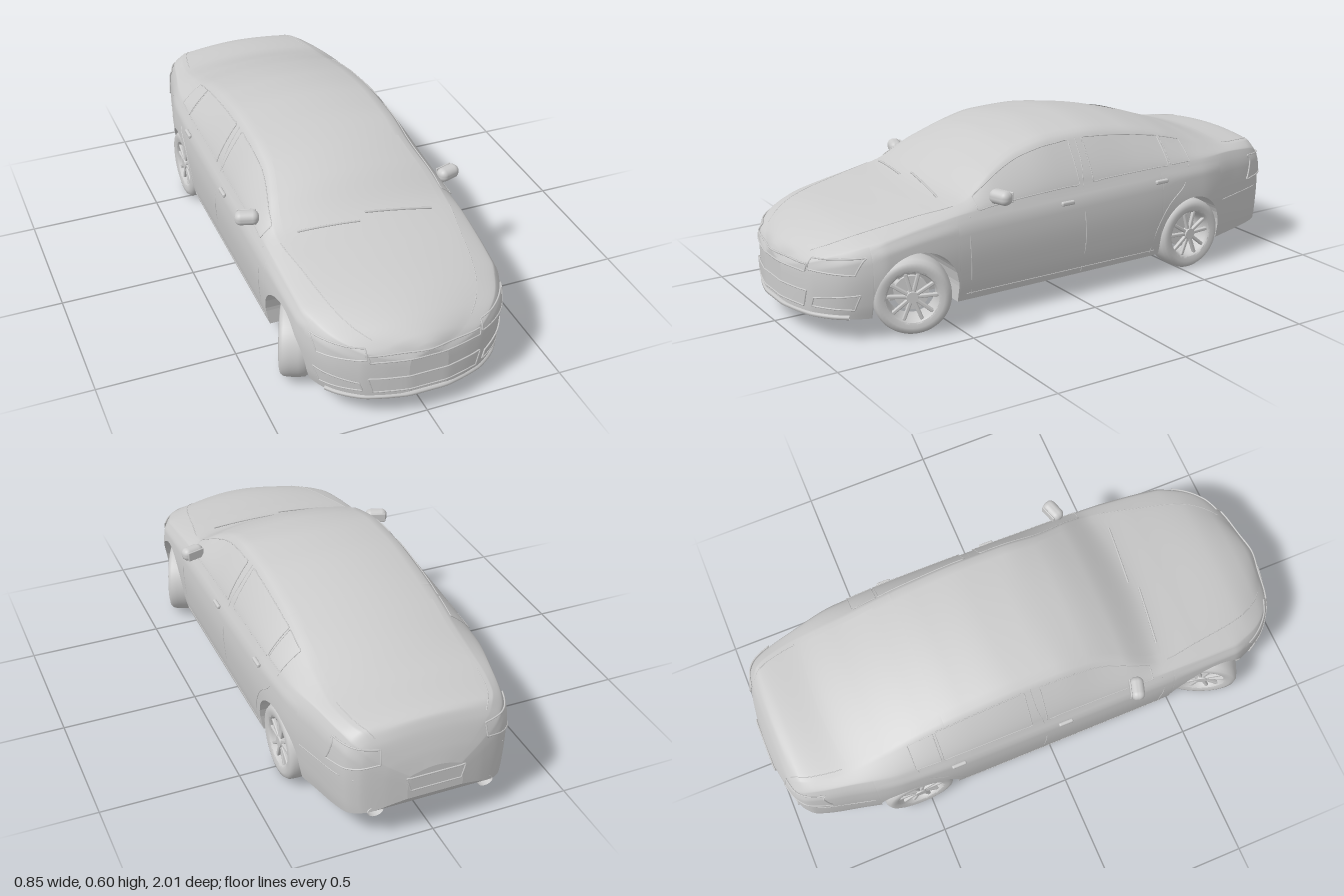
import * as THREE from 'three';
import { RoundedBoxGeometry } from 'three/addons/geometries/RoundedBoxGeometry.js';

const grey = new THREE.MeshStandardMaterial({ color: 0xcccccc, side: THREE.DoubleSide });
const greyFlat = new THREE.MeshStandardMaterial({ color: 0xcccccc, side: THREE.DoubleSide, flatShading: true });
const V = (x, y, z) => new THREE.Vector3(x, y, z);
const lerp = THREE.MathUtils.lerp;

// Smooth curve without overshoot through [position, value] points
function curve(...p) {
  const d = p.slice(1).map((q, i) => (q[1] - p[i][1]) / (q[0] - p[i][0]));
  const m = p.map((q, i) => {
    if (i === 0) return d[0];
    if (i === p.length - 1) return d[i - 1];
    const a = d[i - 1], b = d[i];
    return a * b <= 0 ? 0 : 2 * a * b / (a + b);
  });
  return z => {
    z = Math.min(Math.max(z, p[0][0]), p[p.length - 1][0]);
    let i = 0;
    while (i < p.length - 2 && z > p[i + 1][0]) i++;
    const h = p[i + 1][0] - p[i][0], t = (z - p[i][0]) / h, t2 = t * t, t3 = t2 * t;
    return p[i][1] * (2 * t3 - 3 * t2 + 1) + m[i] * h * (t3 - 2 * t2 + t) + p[i + 1][1] * (3 * t2 - 2 * t3) + m[i + 1] * h * (t3 - t2);
  };
}

// Body curves along z: half width, centre height, shoulder height, roof rail height and half width, floor
const width = curve([-1, .1], [-.985, .18], [-.96, .255], [-.92, .295], [-.76, .34], [-.58, .378], [-.3, .388], [.4, .388],
  [.74, .376], [.8, .357], [.87, .32], [.95, .225], [.975, .155], [.995, .07]);
const top = curve([-1, .27], [-.985, .33], [-.96, .4], [-.94, .43], [-.9, .442], [-.77, .452], [-.62, .497], [-.46, .548], [-.3, .585],
  [-.12, .604], [0, .602], [.17, .577], [.3, .53], [.47, .435], [.6, .41], [.8, .375], [.9, .34], [.96, .305], [.985, .28], [.995, .26]);
const shoulder = curve([-1, .25], [-.985, .3], [-.95, .37], [-.88, .4], [-.7, .415], [-.4, .412], [.1, .398], [.42, .388],
  [.6, .365], [.8, .325], [.9, .295], [.96, .262], [.995, .23]);
const railY = curve([-1, .26], [-.985, .315], [-.96, .38], [-.92, .42], [-.77, .432], [-.62, .468], [-.46, .52], [-.3, .556],
  [-.1, .578], [.05, .574], [.17, .55], [.3, .495], [.44, .415], [.6, .39], [.8, .352], [.9, .315], [.96, .28], [.995, .245]);
const railX = curve([-1, .06], [-.985, .13], [-.95, .21], [-.88, .25], [-.75, .27], [-.5, .262], [.17, .262], [.44, .315],
  [.6, .29], [.8, .25], [.9, .2], [.96, .13], [.995, .04]);
const floorY = curve([-1, .16], [-.97, .12], [-.9, .1], [-.6, .085], [.9, .08], [.97, .085], [.995, .1]);
const flank = curve([0, .94], [.2, .975], [.6, 1], [.85, .985], [1, .93]);

const arches = [{ z: .637, r: .156 }, { z: -.535, r: .15 }], axleY = .135, wellX = .215;
const inArch = z => arches.find(a => Math.abs(z - a.z) < a.r);
function lowerEdge(z) {
  const a = inArch(z);
  return a ? axleY + Math.sqrt(a.r ** 2 - (z - a.z) ** 2) : floorY(z);
}

// Half width of the body at a height
function halfWidth(z, y) {
  const s = shoulder(z), ry = railY(z), t = top(z), w = width(z), r = railX(z);
  if (y <= s) return w * flank((y - .08) / (s - .08));
  if (y <= ry) return lerp(.93 * w, r, ((y - s) / (ry - s)) ** 1.3);
  return y < t ? r * Math.sqrt((t - y) / (t - ry)) : -1;
}
// Point on the skin: t 0..1 flank, 1..2 side glass or wing, 2..3 roof or bonnet
function skin(z, t, side = 1) {
  if (t <= 2) {
    const y = t <= 1 ? lerp(lowerEdge(z), shoulder(z), t) : lerp(shoulder(z), railY(z), t - 1);
    return V(side * halfWidth(z, y), y, z);
  }
  const k = 3 - t;
  return V(side * railX(z) * k, lerp(top(z), railY(z), k * k), z);
}
// Depth of the nose (s = 1) or tail (s = -1) at x, y
function endZ(x, y, s) {
  let a = .4, b = s > 0 ? .995 : 1;
  for (let i = 0; i < 30; i++) {
    const m = (a + b) / 2;
    if (halfWidth(s * m, y) >= Math.abs(x)) a = m; else b = m;
  }
  return s * a;
}

function grid(rows, cols, point) {
  const pos = [], idx = [];
  for (let i = 0; i <= rows; i++) for (let j = 0; j <= cols; j++) {
    pos.push(...point(i, j).toArray());
    if (i < rows && j < cols) {
      const a = i * (cols + 1) + j, b = a + cols + 1;
      idx.push(a, a + 1, b, b, a + 1, b + 1);
    }
  }
  const g = new THREE.BufferGeometry();
  g.setAttribute('position', new THREE.Float32BufferAttribute(pos, 3));
  g.setIndex(idx);
  g.computeVertexNormals();
  return g;
}

export function createModel() {
  const car = new THREE.Group();
  car.name = 'saloonCar';
  const add = (name, geo, parent = car, mat = grey) => {
    const m = new THREE.Mesh(geo, mat);
    m.name = name;
    parent.add(m);
    return m;
  };
  const tube = (name, pts, r, closed = false, parent = car) =>
    add(name, new THREE.TubeGeometry(new THREE.CatmullRomCurve3(pts, closed, 'centripetal'), pts.length * 3, r, 6, closed), parent);

  // Body stations, closer at the ends and doubled at the arch edges
  const zs = [];
  for (let i = 0; i <= 260; i++) zs.push(-.0025 - .9975 * Math.cos(Math.PI * i / 260));
  for (const a of arches) for (const s of [-1, 1]) for (const e of [-1e-4, 1e-4]) zs.push(a.z + s * (a.r + e));
  zs.sort((a, b) => a - b);
  const last = zs.length - 1;

  // Painted shell, closed at nose and tail
  const steps = [];
  for (let k = 0; k <= 14; k++) steps.push(k / 14);
  for (let k = 1; k <= 16; k++) steps.push(1 + k / 8);
  const n = steps.length - 1;
  add('bodyShell', grid(last + 2, 2 * n, (i, j) => {
    const p = skin(zs[Math.min(Math.max(i - 1, 0), last)], steps[j <= n ? j : 2 * n - j], j <= n ? 1 : -1);
    if (i === 0 || i === last + 2) p.x = 0;
    return p;
  }));

  // Underbody with wheel wells
  add('underbody', grid(last, 7, (i, j) => {
    const z = zs[i], k = j < 4 ? j : 7 - j, b = lowerEdge(z), x = halfWidth(z, b);
    const inner = Math.min(x, wellX);
    return V((j < 4 ? 1 : -1) * [x, inner, inner, inner * .4][k], k < 2 ? b : floorY(z), z);
  }), car, greyFlat);

  // Glass panels just proud of the shell
  const glass = (name, point) => add(name, grid(24, 24, (i, j) => point(i / 24, j / 24)));
  glass('windscreen', (u, v) => {
    const x = 1.84 * v - .92, z = lerp(.19, .485 - .035 * x * x, u);
    return skin(z, 3 - Math.abs(x), Math.sign(x) || 1).add(V(0, .0025, .0015));
  });
  glass('rearWindow', (u, v) => {
    const x = 1.84 * v - .92, z = lerp(-.46, -.77 + .03 * x * x, u);
    return skin(z, 3 - Math.abs(x), Math.sign(x) || 1).add(V(0, .0025, -.0015));
  });
  for (const s of [1, -1]) {
    for (const [name, z0, z1] of [['frontSideWindow', .395, -.025], ['rearSideWindow', -.085, -.425], ['quarterWindow', -.435, -.53]]) {
      const at = (u, v) => skin(lerp(z0, z1, u), lerp(1.07, 1.88, v), s).add(V(s * .003, .001, 0));
      glass(name, at);
      const rim = [];
      for (let e = 0; e < 4; e++) for (let k = 0; k < 8; k++) {
        const f = k / 8;
        rim.push(at(...[[f, 0], [1, f], [1 - f, 1], [0, 1 - f]][e]));
      }
      tube(name + 'Trim', rim, .002, true);
    }

    // Door gaps
    const gap = (name, pts) => tube(name, pts.map(([z, y]) => V(s * halfWidth(z, y), y, z)), .0018);
    gap('frontDoorGap', [[.43, .1], [.435, .2], [.44, .3], [.43, .38]]);
    gap('middleDoorGap', [[-.03, .09], [-.04, .2], [-.035, .3], [-.04, .4], [-.055, .48], [-.06, .56]]);
    gap('rearDoorGap', [[-.34, .1], [-.37, .2], [-.42, .28], [-.49, .34], [-.525, .41]]);
    gap('sillLine', [[.45, .105], [.2, .105], [0, .105], [-.2, .105], [-.36, .105]]);
    gap('rearBumperLine', [[-.7, .24], [-.8, .245], [-.9, .25], [-.95, .25]]);

    // Bonnet and boot lid gaps
    const along = (z0, z1, t) => Array.from({ length: 12 }, (_, i) => skin(lerp(z0, z1, i / 11), t, s));
    tube('bonnetGap', along(.47, .93, 1.95), .0018);
    tube('bootGap', along(-.77, -.95, 2.06), .0018);

    // Door handles
    for (const [z, y] of [[.04, .362], [-.378, .372]]) {
      const h = add('doorHandle', new RoundedBoxGeometry(.014, .016, .055, 3, .006));
      h.position.set(s * (halfWidth(z, y) + .004), y, z);
    }

    // Door mirror
    const mirror = new THREE.Group();
    mirror.name = 'doorMirror';
    car.add(mirror);
    const shell = add('mirrorShell', new RoundedBoxGeometry(.085, .05, .05, 6, .022), mirror);
    shell.position.set(s * .384, .432, .318);
    shell.rotation.y = s * .3;
    const face = add('mirrorGlass', new RoundedBoxGeometry(.068, .036, .006, 3, .003), mirror);
    face.position.set(s * .377, .432, .294);
    face.rotation.y = s * .3;
    tube('mirrorArm', [V(s * .325, .405, .335), V(s * .35, .41, .33), V(s * .375, .422, .322)], .01, false, mirror);

    // Wipers
    const wiper = [0, .25, .5, .75, 1].map(f => {
      const x = s > 0 ? lerp(.24, .0, f) : lerp(-.03, -.25, f), z = lerp(.485, .455, f);
      return V(x, lerp(top(z), railY(z), (x / railX(z)) ** 2) + .006, z);
    });
    tube('wiper', wiper, .004);
  }

  // Panels wrapped on nose or tail from four corners, with a trim line
  function panel(name, s, c, lift = .004) {
    const at = (u, v) => {
      const x = lerp(lerp(c[0][0], c[1][0], u), lerp(c[3][0], c[2][0], u), v);
      const y = lerp(lerp(c[0][1], c[1][1], u), lerp(c[3][1], c[2][1], u), v);
      return V(x * 1.008, y, endZ(x, y, s) + s * lift);
    };
    glass(name, at);
    const rim = [];
    for (let e = 0; e < 4; e++) for (let k = 0; k < 12; k++) {
      const f = k / 12;
      rim.push(at(...[[f, 0], [1, f], [1 - f, 1], [0, 1 - f]][e]));
    }
    tube(name + 'Trim', rim, .003, true);
  }
  panel('upperGrille', 1, [[-.195, .238], [.195, .238], [.2, .262], [-.2, .262]]);
  panel('lowerGrille', 1, [[-.185, .115], [.185, .115], [.2, .17], [-.2, .17]]);
  panel('numberPlateRecess', -1, [[-.09, .195], [.09, .195], [.105, .245], [-.105, .245]]);
  for (const s of [1, -1]) {
    panel('headlight', 1, [[s * .205, .248], [s * .335, .242], [s * .345, .298], [s * .205, .284]]);
    panel('fogLightIntake', 1, [[s * .215, .12], [s * .325, .118], [s * .34, .17], [s * .225, .15]], .002);
    panel('tailLight', -1, [[s * .19, .315], [s * .32, .29], [s * .305, .38], [s * .185, .365]]);
    const tip = add('exhaustTip', new THREE.CylinderGeometry(.02, .02, .07, 20, 1, true));
    tip.rotation.x = Math.PI / 2;
    tip.scale.x = 1.4;
    tip.position.set(s * .2, .122, -.94);
  }
  // Front lip
  const lip = [];
  for (let i = 0; i <= 24; i++) {
    const x = lerp(-.31, .31, i / 24);
    lip.push(V(x, .088, endZ(x, .1, 1) - .003));
  }
  tube('frontLip', lip, .009);

  // Exhaust, silencer and axle beams
  tube('exhaustPipe', [V(.03, .085, .42), V(.03, .08, 0), V(.05, .085, -.35), V(.13, .09, -.6), V(.16, .1, -.78)], .014);
  const silencer = add('silencer', new RoundedBoxGeometry(.34, .05, .12, 4, .024));
  silencer.position.set(0, .105, -.82);
  for (const a of arches) {
    const beam = add('axleBeam', new THREE.CylinderGeometry(.014, .014, .6, 12));
    beam.rotation.z = Math.PI / 2;
    beam.position.set(0, axleY, a.z);
    const cross = add('crossMember', new THREE.BoxGeometry(.42, .03, .05));
    cross.position.set(0, .085, a.z);
  }

  // Wheels; the outer side faces +x before turning, the front pair is steered
  const lathe = pts => new THREE.LatheGeometry(pts.map(p => new THREE.Vector2(...p)), 48).rotateZ(-Math.PI / 2);
  const tyre = lathe([[.09, -.046], [.108, -.052], [.124, -.048], [.133, -.036], [.135, -.015], [.135, .015], [.133, .036], [.124, .048], [.108, .052], [.09, .046]]);
  const rim = lathe([[.09, -.046], [.084, -.04], [.08, 0], [.084, .036], [.09, .046], [.096, .048]]);
  const spoke = new RoundedBoxGeometry(.014, .075, .013, 2, .004).translate(0, .05, 0);
  for (const s of [1, -1]) for (const a of arches) {
    const front = a.z > 0, wheel = new THREE.Group();
    wheel.name = front ? 'frontWheel' : 'rearWheel';
    wheel.position.set(s * (front ? .33 : .322), axleY, front ? .64 : a.z);
    wheel.rotation.y = (front ? -.41 : 0) + (s < 0 ? Math.PI : 0);
    car.add(wheel);
    add('tyre', tyre, wheel);
    add('rim', rim, wheel);
    const hub = add('hub', new THREE.CylinderGeometry(.02, .024, .02, 24).rotateZ(-Math.PI / 2), wheel);
    hub.position.x = .036;
    const disc = add('brakeDisc', new THREE.CylinderGeometry(.06, .06, .012, 32).rotateZ(-Math.PI / 2), wheel);
    disc.position.x = -.01;
    for (let k = 0; k < 10; k++) {
      const sp = add('spoke', spoke, wheel);
      sp.position.x = .034;
      sp.rotation.x = (Math.floor(k / 2) * 72 + (k % 2 ? 15 : -15)) * Math.PI / 180;
    }
  }
  return car;
}
